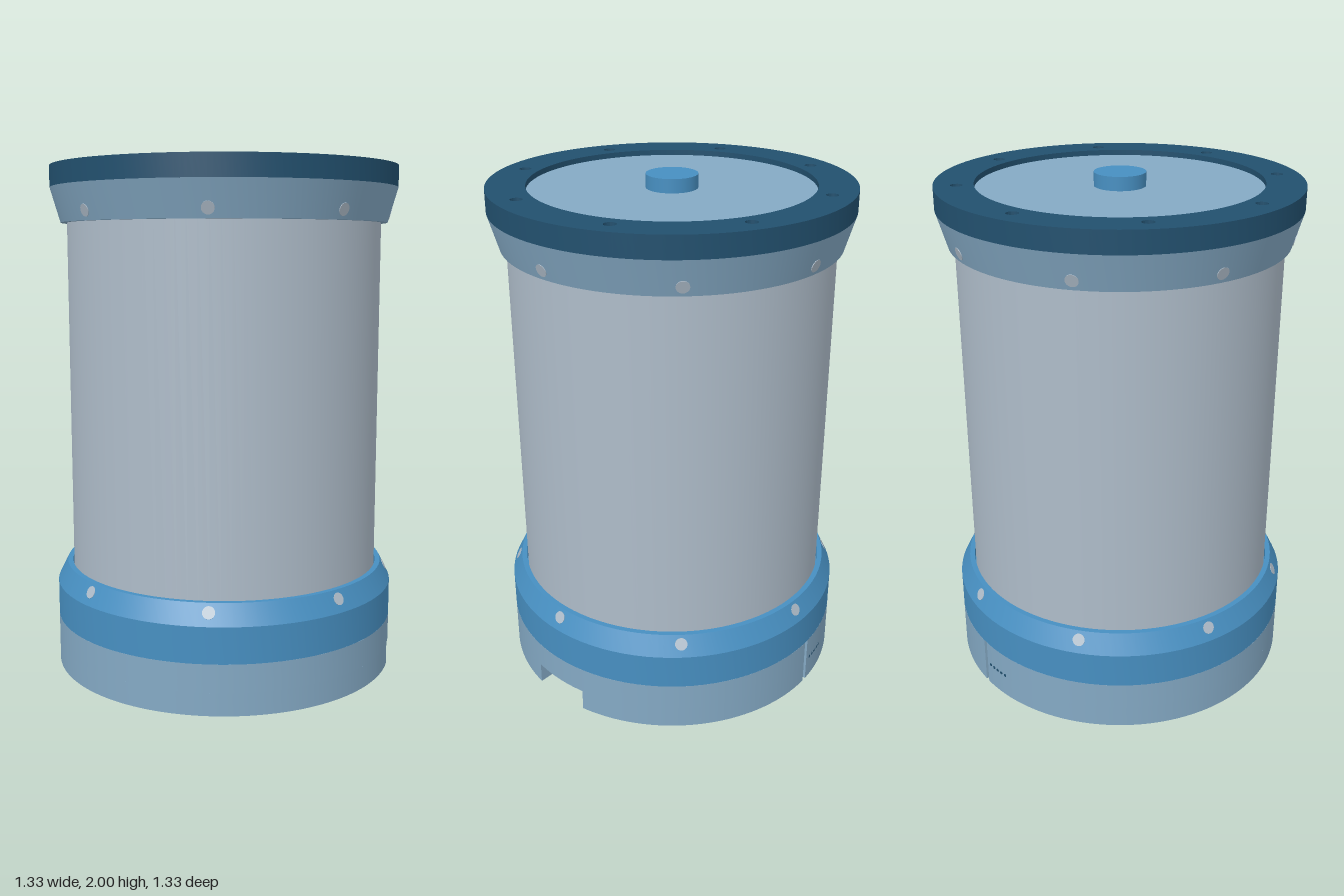
import * as THREE from 'three';
import { toCreasedNormals } from 'three/addons/utils/BufferGeometryUtils.js';

const TAU = Math.PI * 2;

export function createModel() {
  const model = new THREE.Group();
  model.name = 'canister';

  const material = (name, color) => {
    const m = new THREE.MeshStandardMaterial({ color });
    m.name = name;
    return m;
  };
  const paleBlue = material('pale blue', 0x84a9c4);
  const blue = material('mid blue', 0x478fc1);
  const navy = material('dark blue', 0x22506e);
  const grey = material('light grey', 0xaebcc9);

  const add = (name, geometry, mat, parent = model) => {
    const mesh = new THREE.Mesh(geometry, mat);
    mesh.name = name;
    parent.add(mesh);
    return mesh;
  };

  // Closed profile of [radius, height], listed up the outside and down the inside
  const lathe = (name, profile, mat) => {
    const pts = [...profile, profile[0]].map(([r, y]) => new THREE.Vector2(r, y));
    return add(name, toCreasedNormals(new THREE.LatheGeometry(pts, 96), 0.2), mat);
  };

  // Flat shape (shape y = -z) raised from y0 to y1
  const slab = (name, shape, y0, y1, mat) => {
    const g = new THREE.ExtrudeGeometry(shape, { depth: y1 - y0, bevelEnabled: false, curveSegments: 96 });
    g.rotateX(-Math.PI / 2).translate(0, y0, 0);
    return add(name, toCreasedNormals(g, 0.3), mat);
  };

  const cylinder = (name, r, y0, y1, mat, x = 0, z = 0, sides = 24) => {
    const g = new THREE.CylinderGeometry(r, r, y1 - y0, sides);
    return add(name, g.translate(x, (y0 + y1) / 2, z), mat);
  };

  const circleHole = (x, y, r) => new THREE.Path().absarc(x, y, r, 0, TAU, true);

  // Eight vertical screw positions, between the side bolts
  const R = 0.663, SCREW_R = 0.58;
  const screws = [];
  for (let i = 0; i < 8; i++) {
    const a = (i + 0.5) * TAU / 8;
    screws.push([Math.cos(a) * SCREW_R, Math.sin(a) * SCREW_R]);
  }

  // Base ring: a narrow groove in the back wall, and a cable notch on the left side
  const INNER = 0.54, grooveAt = Math.PI / 2 + 0.095;
  const outerWall = (shape, start, end) => {
    shape.absarc(0, 0, R, start, grooveAt - 0.014, false);
    shape.lineTo(Math.cos(grooveAt - 0.014) * 0.64, Math.sin(grooveAt - 0.014) * 0.64);
    shape.lineTo(Math.cos(grooveAt + 0.014) * 0.64, Math.sin(grooveAt + 0.014) * 0.64);
    shape.absarc(0, 0, R, grooveAt + 0.014, end, false);
    return shape;
  };
  const upperBase = outerWall(new THREE.Shape(), 0, TAU);
  upperBase.holes.push(circleHole(0, 0, INNER));
  slab('baseRingUpper', upperBase, 0.13, 0.235, paleBlue);

  const aOut = Math.asin(0.12 / R), aIn = Math.asin(0.12 / INNER);
  const lowerBase = outerWall(new THREE.Shape(), aOut, TAU - aOut);
  lowerBase.absarc(0, 0, INNER, TAU - aIn, aIn, true);
  lowerBase.closePath();
  screws.forEach(([x, y]) => lowerBase.holes.push(circleHole(x, y, 0.02)));
  slab('baseRingLower', lowerBase, 0.045, 0.13, paleBlue);

  // Row of small indicator holes beside the groove
  for (let i = 0; i < 5; i++) {
    const a = grooveAt + 0.05 + i * 0.034;
    const dot = new THREE.CylinderGeometry(0.006, 0.006, 0.006, 12).rotateZ(Math.PI / 2);
    dot.translate(R - 0.001, 0.14, 0).rotateY(a);
    add('indicatorHole', dot, navy);
  }

  // Triangular inner tabs carrying four small feet
  for (let i = 0; i < 4; i++) {
    const a = Math.PI / 4 + i * Math.PI / 2;
    const polar = (r, t) => new THREE.Vector2(Math.cos(t) * r, Math.sin(t) * r);
    const tab = new THREE.Shape([polar(0.47, a), polar(0.55, a + 0.25), polar(0.6, a), polar(0.55, a - 0.25)].reverse());
    slab('footTab', tab, 0.0455, 0.09, paleBlue);
    const p = polar(0.523, a);
    cylinder('footPin', 0.007, 0.008, 0.06, grey, p.x, p.y, 12);
    cylinder('footPad', 0.019, 0, 0.008, grey, p.x, p.y, 16);
  }

  // Lower collar gripping the tube
  lathe('lowerCollar', [
    [0.545, 0.235], [R, 0.235], [R, 0.37], [0.625, 0.445],
    [0.605, 0.445], [0.605, 0.4], [0.545, 0.4],
  ], blue);

  // Main tube
  lathe('tube', [[0.58, 0.4], [0.601, 0.4], [0.601, 1.9], [0.58, 1.9]], grey);

  // Flared upper collar
  lathe('upperCollar', [[0.6, 1.76], [0.625, 1.76], [R, 1.89], [0.6, 1.89]], paleBlue);

  // Top rim with screw holes
  const rim = new THREE.Shape().absarc(0, 0, R, 0, TAU, false);
  rim.holes.push(circleHole(0, 0, 0.52));
  screws.forEach(([x, y]) => rim.holes.push(circleHole(x, y, 0.022)));
  slab('topRim', rim, 1.89, 1.97, navy);

  // Recessed lid and centre button
  cylinder('lid', 0.522, 1.895, 1.95, paleBlue, 0, 0, 96);
  cylinder('button', 0.094, 1.95, 2, blue, 0, 0, 48);
  lathe('lidUnderside', [[0, 1.89], [0.6, 1.89], [0.6, 1.894], [0, 1.894]], paleBlue);

  // Screws sunk in the rim and in the base
  screws.forEach(([x, y]) => {
    cylinder('rimScrew', 0.022, 1.9, 1.95, grey, x, -y);
    cylinder('baseScrew', 0.02, 0.065, 0.12, grey, x, -y);
  });

  // Side bolts through both collars, with nut pads inside the lower one
  const bolt = (name, angle, r, y, tilt, mat) => {
    const g = new THREE.CylinderGeometry(0.023, 0.023, 0.008, 24).rotateZ(-Math.PI / 2);
    add(name, g.rotateZ(tilt).translate(r, y, 0).rotateY(angle), mat);
  };
  for (let i = 0; i < 8; i++) {
    const a = i * TAU / 8;
    bolt('upperBolt', a, 0.633, 1.795, -0.284, grey);
    bolt('lowerBolt', a, 0.638, 0.413, 0.469, grey);
    add('nutPad', new THREE.BoxGeometry(0.03, 0.08, 0.09).translate(0.54, 0.35, 0).rotateY(a), blue);
    bolt('nut', a, 0.524, 0.35, 0, grey);
  }

  return model;
}
